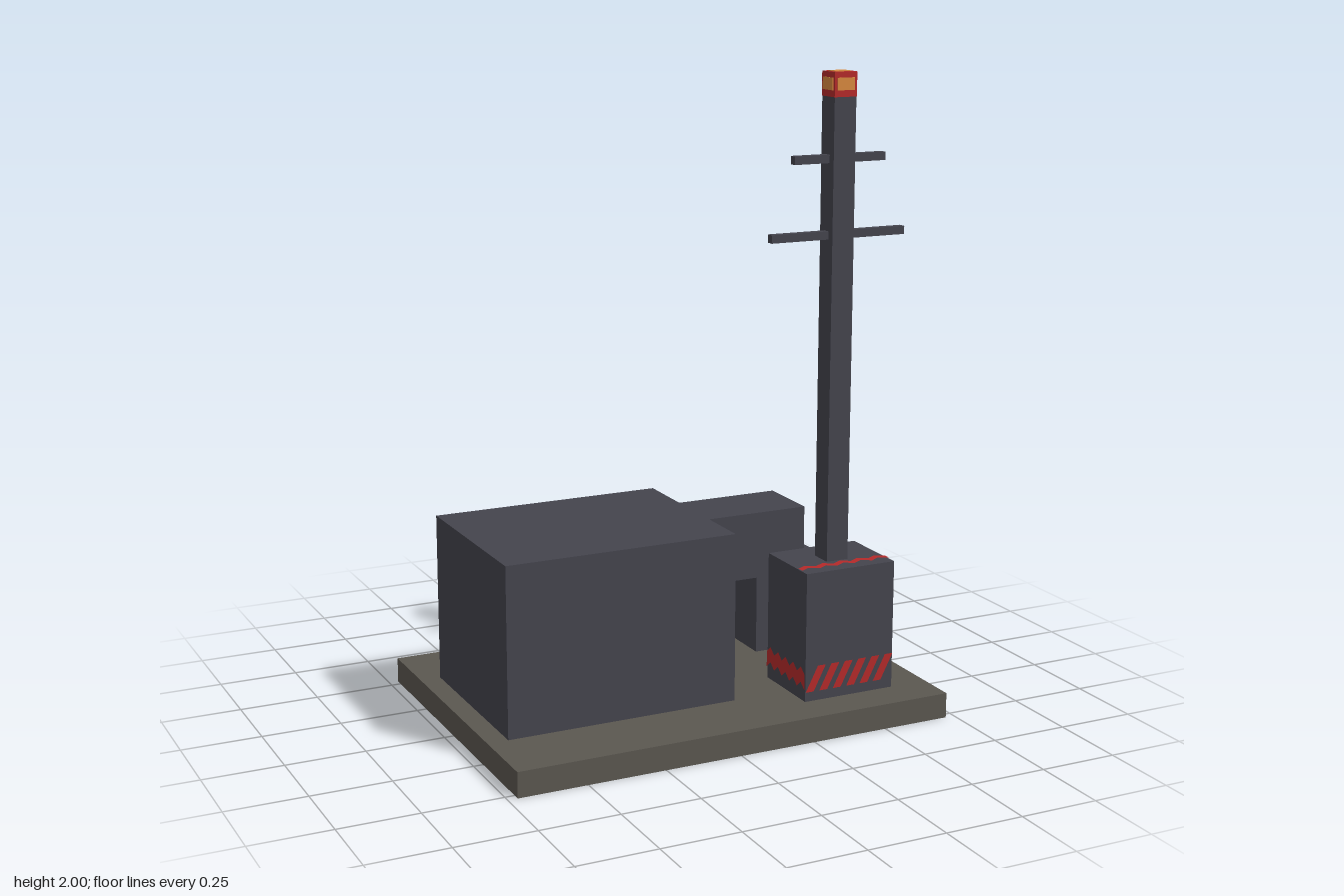
import * as THREE from 'three';

const material = (name, color) => {
  const m = new THREE.MeshStandardMaterial({ color });
  m.name = name;
  return m;
};

export function createModel() {
  const model = new THREE.Group();
  const slate = material('dark slate', 0x44444d);
  const ground = material('stone brown', 0x5b5750);
  const red = material('warning red', 0xb52a2a);
  const orange = material('lamp orange', 0xd8893f);

  // Box given by its lower and upper limits on each axis
  const box = (name, mat, [x0, x1], [y0, y1], [z0, z1], parent = model) => {
    const mesh = new THREE.Mesh(new THREE.BoxGeometry(x1 - x0, y1 - y0, z1 - z0), mat);
    mesh.position.set((x0 + x1) / 2, (y0 + y1) / 2, (z0 + z1) / 2);
    mesh.name = name;
    parent.add(mesh);
    return mesh;
  };

  // Base and main building
  box('basePlate', ground, [-0.72, 0.72], [0, 0.08], [-0.524, 0.524]);
  box('mainBlock', slate, [-0.655, 0.096], [0.08, 0.615], [-0.296, 0.291]);

  // Elbow duct: raised arm and its leg
  box('ductArm', slate, [0.096, 0.54], [0.335, 0.555], [-0.291, -0.072]);
  box('ductLeg', slate, [0.365, 0.58], [0.08, 0.402], [-0.291, -0.072]);

  // Mast with its pedestal and crossbars
  box('pedestal', slate, [0.285, 0.595], [0.08, 0.492], [0.155, 0.399]);
  box('mast', slate, [0.403, 0.477], [0.492, 1.925], [0.24, 0.314]);
  box('lowerCrossbar', slate, [0.21, 0.67], [1.497, 1.522], [0.265, 0.29]);
  box('upperCrossbar', slate, [0.285, 0.597], [1.727, 1.752], [0.265, 0.29]);

  // Beacon: red housing with an orange pane on each exposed face
  const beacon = new THREE.Group();
  beacon.name = 'beacon';
  beacon.position.set(0.44, 1.961, 0.277);
  model.add(beacon);
  box('beaconHousing', red, [-0.038, 0.038], [-0.037, 0.037], [-0.038, 0.038], beacon);
  for (let i = 0; i < 4; i++) {
    const side = new THREE.Group();
    side.rotation.y = (i * Math.PI) / 2;
    beacon.add(side);
    box('beaconPane', orange, [-0.029, 0.029], [-0.017, 0.02], [0.036, 0.041], side);
  }
  box('beaconTopPane', orange, [-0.027, 0.027], [0.036, 0.039], [-0.02, 0.02], beacon);

  // Flat red marking lying in the xy plane
  const marking = (name, shapes, position, rotation) => {
    const mesh = new THREE.Mesh(new THREE.ShapeGeometry(shapes), red);
    mesh.name = name;
    mesh.position.set(...position);
    mesh.rotation.set(...rotation);
    model.add(mesh);
  };

  // Row of slanted warning bars
  const bars = (length, height, count, width, slant) => {
    const step = (length - width - slant) / (count - 1);
    return Array.from({ length: count }, (_, i) => {
      const x = -length / 2 + i * step;
      return new THREE.Shape([
        [x, -height / 2], [x + width, -height / 2],
        [x + width + slant, height / 2], [x + slant, height / 2],
      ].map(([a, b]) => new THREE.Vector2(a, b)));
    });
  };

  // Continuous jagged band
  const jagged = (length, height, teeth, rise) => {
    const lower = [], upper = [];
    for (let i = 0; i <= teeth * 2; i++) {
      const x = -length / 2 + (length * i) / (teeth * 2);
      const y = (i % 2 ? rise : -rise) / 2;
      lower.push(new THREE.Vector2(x, y - height / 2));
      upper.unshift(new THREE.Vector2(x, y + height / 2));
    }
    return [new THREE.Shape([...lower, ...upper])];
  };

  const e = 0.003, cx = 0.44, cz = 0.277;
  const hazard = () => bars(0.31, 0.082, 6, 0.028, 0.042);
  marking('frontHazardBars', hazard(), [cx, 0.152, 0.399 + e], [0, 0, 0]);
  marking('backHazardBars', hazard(), [cx, 0.152, 0.155 - e], [0, Math.PI, 0]);
  for (const s of [-1, 1]) {
    marking('sideHazardBand', jagged(0.244, 0.05, 5, 0.02),
      [cx + s * (0.155 + e), 0.153, cz], [0, (s * Math.PI) / 2, 0]);
  }
  marking('topHazardBand', jagged(0.31, 0.024, 5, 0.018),
    [cx, 0.492 + e, 0.349], [-Math.PI / 2, 0, 0]);

  return model;
}
